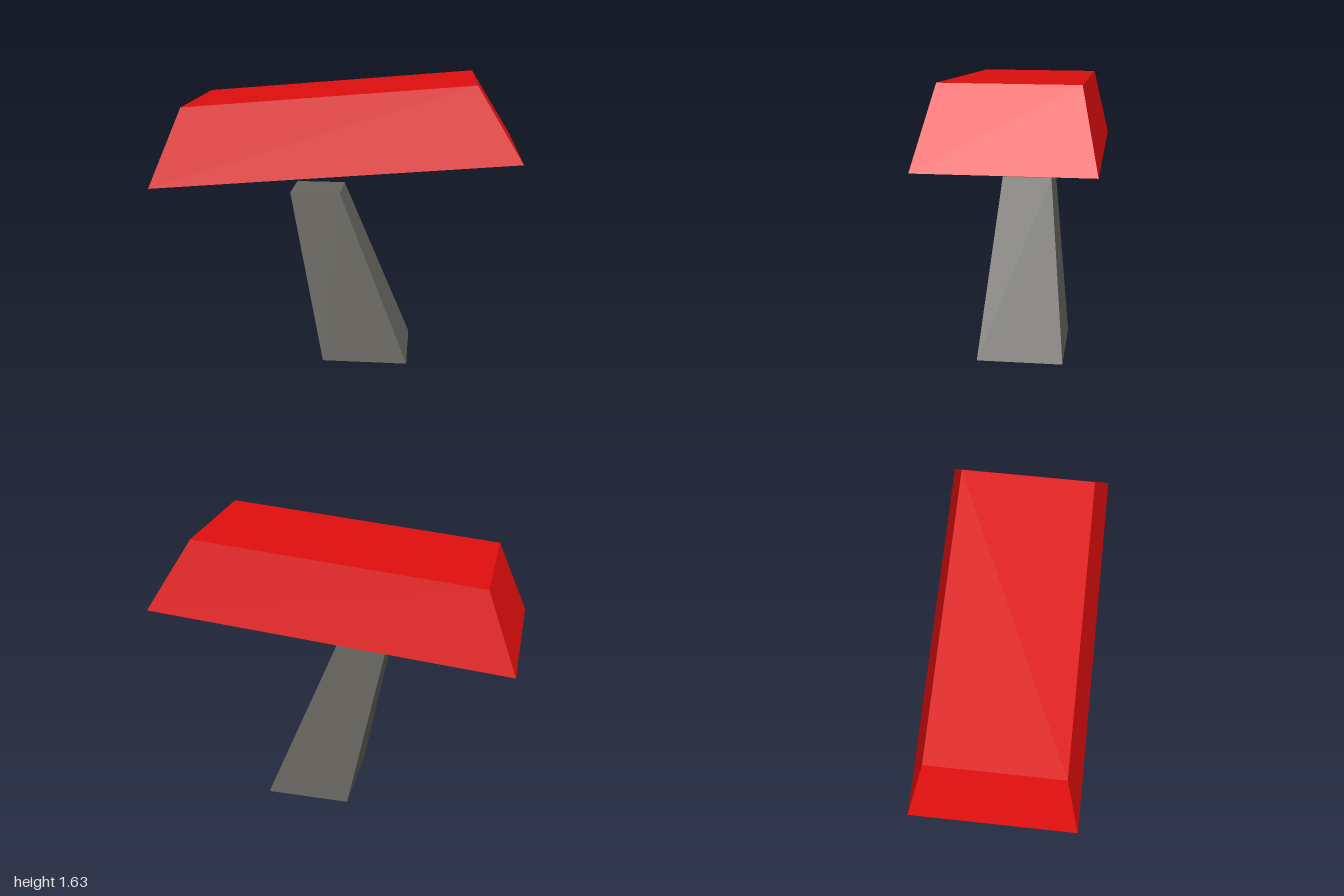
import * as THREE from 'three';

// Box whose bottom and top rectangles are set separately: x and z are [min, max],
// y is the height at the min-x and max-x ends.
function taperedBlock(name, color, bottom, top) {
  const geometry = new THREE.BoxGeometry(1, 1, 1);
  const pos = geometry.attributes.position;
  for (let i = 0; i < pos.count; i++) {
    const end = pos.getY(i) > 0 ? top : bottom;
    const ix = pos.getX(i) > 0 ? 1 : 0;
    const iz = pos.getZ(i) > 0 ? 1 : 0;
    pos.setXYZ(i, end.x[ix], end.y[ix], end.z[iz]);
  }
  geometry.computeVertexNormals();
  const material = new THREE.MeshStandardMaterial({ color, flatShading: true });
  const mesh = new THREE.Mesh(geometry, material);
  mesh.name = name;
  return mesh;
}

export function createModel() {
  const group = new THREE.Group();
  group.name = 'mushroom';

  // Leaning four-sided stem
  group.add(taperedBlock('stem', 0x66655f,
    { x: [-0.075, 0.413], y: [0, 0], z: [-0.253, 0.237] },
    { x: [-0.27, 0.015], y: [0.985, 0.985], z: [-0.15, 0.135] }));

  // Tilted cap floating above the stem
  group.add(taperedBlock('cap', 0xe00e0e,
    { x: [-1, 1], y: [1.065, 1.24], z: [-0.449, 0.447] },
    { x: [-0.825, 0.753], y: [1.497, 1.635], z: [-0.356, 0.354] }));

  return group;
}
